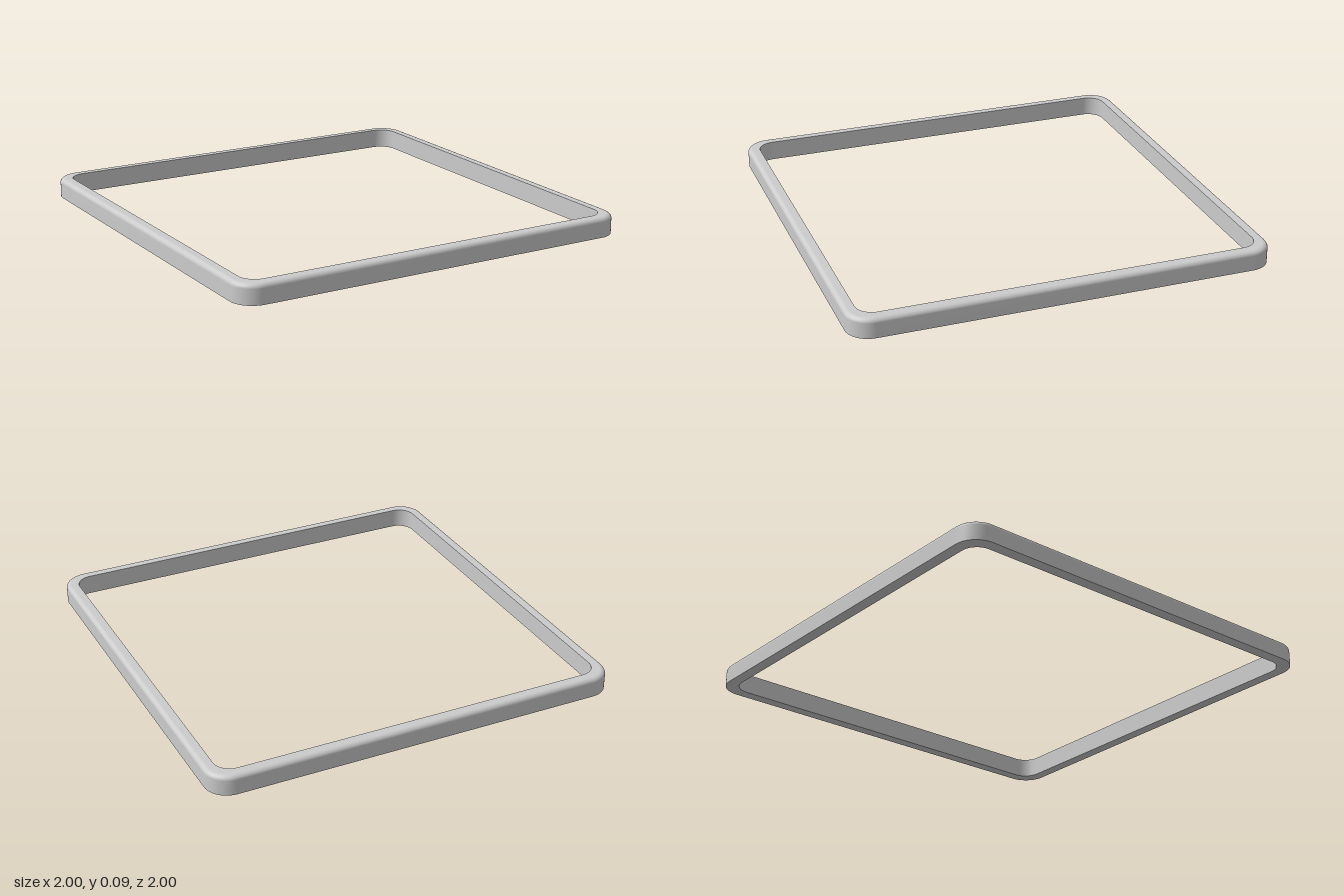
import * as THREE from 'three';

const HALF = 1, HEIGHT = 0.095, WIDTH = 0.055, FILLET = 0.022;
const OUTER_R = 0.11, INNER_R = 0.08, ARC = 12;

// Rounded-square loop at height y, inset by d from the outer edge
function loopPoints(d, y) {
  const r = THREE.MathUtils.lerp(OUTER_R, INNER_R, d / WIDTH);
  const c = HALF - d - r;
  const points = [];
  for (let q = 0; q < 4; q++) {
    const mid = (q + 0.5) * Math.PI / 2;
    for (let k = 0; k <= ARC; k++) {
      const a = (q + k / ARC) * Math.PI / 2;
      points.push(
        Math.sign(Math.cos(mid)) * c + r * Math.cos(a), y,
        Math.sign(Math.sin(mid)) * c + r * Math.sin(a));
    }
  }
  return points;
}

// Smooth closed band swept along a profile of [inset, height] points
function band(profile) {
  const n = 4 * (ARC + 1);
  const index = [];
  for (let i = 0; i < profile.length - 1; i++) {
    for (let j = 0; j < n; j++) {
      const k = (j + 1) % n;
      const a = i * n + j, b = a + n, c = i * n + k, d = c + n;
      index.push(a, b, c, b, d, c);
    }
  }
  const g = new THREE.BufferGeometry();
  g.setAttribute('position', new THREE.Float32BufferAttribute(profile.flatMap(([d, y]) => loopPoints(d, y)), 3));
  g.setIndex(index);
  g.computeVertexNormals();
  return g;
}

export function createModel() {
  const group = new THREE.Group();
  group.name = 'squareFrame';
  const material = new THREE.MeshStandardMaterial({ color: 0xcccccc });
  const add = (name, profile) => {
    const mesh = new THREE.Mesh(band(profile), material);
    mesh.name = name;
    group.add(mesh);
  };

  // Outer wall rolling over a rounded edge into the flat top
  const outer = [[0, 0]];
  for (let i = 0; i <= 6; i++) {
    const a = i / 6 * Math.PI / 2;
    outer.push([FILLET * (1 - Math.cos(a)), HEIGHT - FILLET * (1 - Math.sin(a))]);
  }
  outer.push([WIDTH, HEIGHT]);
  add('outerWallAndTop', outer);

  // Sharp-edged inner wall and underside
  add('innerWall', [[WIDTH, HEIGHT], [WIDTH, 0]]);
  add('underside', [[WIDTH, 0], [0, 0]]);
  return group;
}
